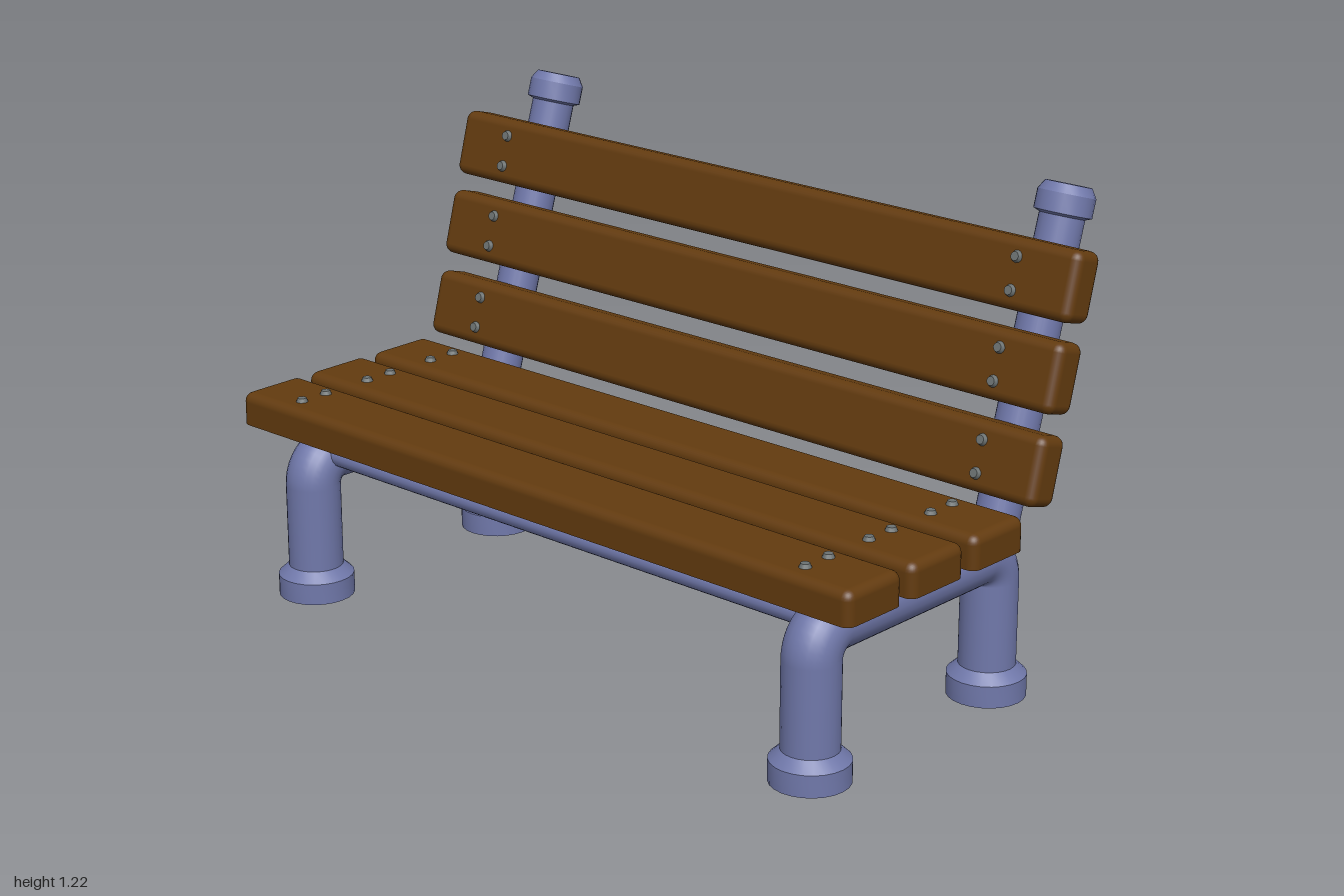
import * as THREE from 'three';
import { toCreasedNormals } from 'three/addons/utils/BufferGeometryUtils.js';
import { RoundedBoxGeometry } from 'three/addons/geometries/RoundedBoxGeometry.js';

const metal = new THREE.MeshStandardMaterial({ color: 0x7078aa, side: THREE.DoubleSide });
metal.name = 'blue grey metal';
const wood = new THREE.MeshStandardMaterial({ color: 0x633b0f });
wood.name = 'brown wood';
const steel = new THREE.MeshStandardMaterial({ color: 0x6c7272 });
steel.name = 'grey bolt steel';

const SIDE_X = 0.83;   // distance of the pipe frames from the middle
const PIPE = 0.07;     // pipe radius, also the bend radius
const RAIL_Y = 0.367;
const FRONT_Z = 0.437, BACK_Z = -0.217;

function add(parent, name, geometry, material, x = 0, y = 0, z = 0) {
  const mesh = new THREE.Mesh(geometry, material);
  mesh.name = name;
  mesh.position.set(x, y, z);
  parent.add(mesh);
  return mesh;
}

function lathe(profile) {
  const points = profile.map(([r, y]) => new THREE.Vector2(r, y));
  return toCreasedNormals(new THREE.LatheGeometry(points, 24), 0.5);
}

// Rounded plank; flatBottom squares off the lower edges
function plankGeometry(height, depth, flatBottom) {
  const r = 0.024;
  const extra = flatBottom ? r : 0;
  const geo = new RoundedBoxGeometry(2, height + extra, depth, 3, r);
  geo.translate(0, -extra / 2, 0);
  if (!flatBottom) return geo;
  const pos = geo.attributes.position, normal = geo.attributes.normal;
  const floor = -height / 2;
  for (let i = 0; i < pos.count; i++) pos.setY(i, Math.max(pos.getY(i), floor));
  for (let i = 0; i < pos.count; i += 3) {
    const flat = [0, 1, 2].every((k) => pos.getY(i + k) < floor + 1e-4);
    if (flat) for (let k = 0; k < 3; k++) normal.setXYZ(i + k, 0, -1, 0);
  }
  return geo;
}

// Plank with a pair of bolts at each frame, face towards local +y
function slat(name, geometry, height) {
  const group = new THREE.Group();
  group.name = name;
  add(group, 'plank', geometry, wood);
  const bolt = new THREE.CylinderGeometry(0.011, 0.016, 0.012, 12);
  for (const x of [-SIDE_X, SIDE_X])
    for (const z of [-0.04, 0.04]) add(group, 'bolt', bolt, steel, x, height / 2 + 0.004, z);
  return group;
}

// Bent pipe with two legs, feet and a leaning back post
function sideFrame(name, x) {
  const frame = new THREE.Group();
  frame.name = name;
  frame.position.x = x;

  const legTop = RAIL_Y - PIPE, legBase = 0.05;
  const leg = new THREE.CylinderGeometry(PIPE, PIPE, legTop - legBase, 24, 1, true);
  const bend = new THREE.TorusGeometry(PIPE, PIPE, 24, 10, Math.PI / 2);
  const foot = lathe([[0.097, 0], [0.097, 0.055], [0.07, 0.08]]);
  for (const [label, z, dir] of [['front', FRONT_Z, 1], ['back', BACK_Z, -1]]) {
    add(frame, label + 'Leg', leg, metal, 0, (legTop + legBase) / 2, z);
    add(frame, label + 'Foot', foot, metal, 0, 0, z);
    add(frame, label + 'Bend', bend, metal, 0, legTop, z - dir * PIPE).rotation.y = -dir * Math.PI / 2;
  }

  const railLength = FRONT_Z - BACK_Z - 2 * PIPE;
  const rail = new THREE.CylinderGeometry(PIPE, PIPE, railLength, 24, 1, true);
  add(frame, 'seatRail', rail, metal, 0, RAIL_Y, (FRONT_Z + BACK_Z) / 2).rotation.x = Math.PI / 2;

  // Back post with its end cap
  const post = new THREE.Group();
  post.name = 'backPost';
  post.position.set(0, 0.4, -0.225);
  post.rotation.x = -0.3;
  const length = 0.845, sunk = 0.04, capHeight = 0.078;
  const tubeLength = length - capHeight + 0.01 + sunk;
  const tube = new THREE.CylinderGeometry(0.055, 0.055, tubeLength, 24, 1, true);
  add(post, 'postTube', tube, metal, 0, tubeLength / 2 - sunk, 0);
  const cap = lathe([[0.05, 0], [0.07, 0.008], [0.07, 0.055], [0.056, capHeight], [0, capHeight]]);
  add(post, 'postCap', cap, metal, 0, length - capHeight, 0);
  frame.add(post);
  return frame;
}

export function createModel() {
  const bench = new THREE.Group();
  bench.name = 'bench';

  bench.add(sideFrame('leftFrame', SIDE_X), sideFrame('rightFrame', -SIDE_X));

  // Thin bars joining the two frames
  const bar = new THREE.CylinderGeometry(0.028, 0.028, 2 * SIDE_X, 16, 1, true);
  for (const [name, z] of [['frontCrossbar', 0.4], ['backCrossbar', -0.163]])
    add(bench, name, bar, metal, 0, 0.377, z).rotation.z = Math.PI / 2;

  // Seat
  const seatHeight = 0.084;
  const seatPlank = plankGeometry(seatHeight, 0.19, true);
  for (const z of [0.424, 0.202, -0.022]) {
    const s = slat('seatSlat', seatPlank, seatHeight);
    s.position.set(0, 0.44 + seatHeight / 2, z);
    bench.add(s);
  }

  // Backrest
  const backDepth = 0.095;
  const backPlank = plankGeometry(backDepth, 0.17, false);
  for (const [y, z] of [[1.022, -0.315], [0.815, -0.26], [0.603, -0.205]]) {
    const s = slat('backSlat', backPlank, backDepth);
    s.position.set(0, y, z);
    s.rotation.x = Math.PI / 2 - 0.27;
    bench.add(s);
  }
  return bench;
}
